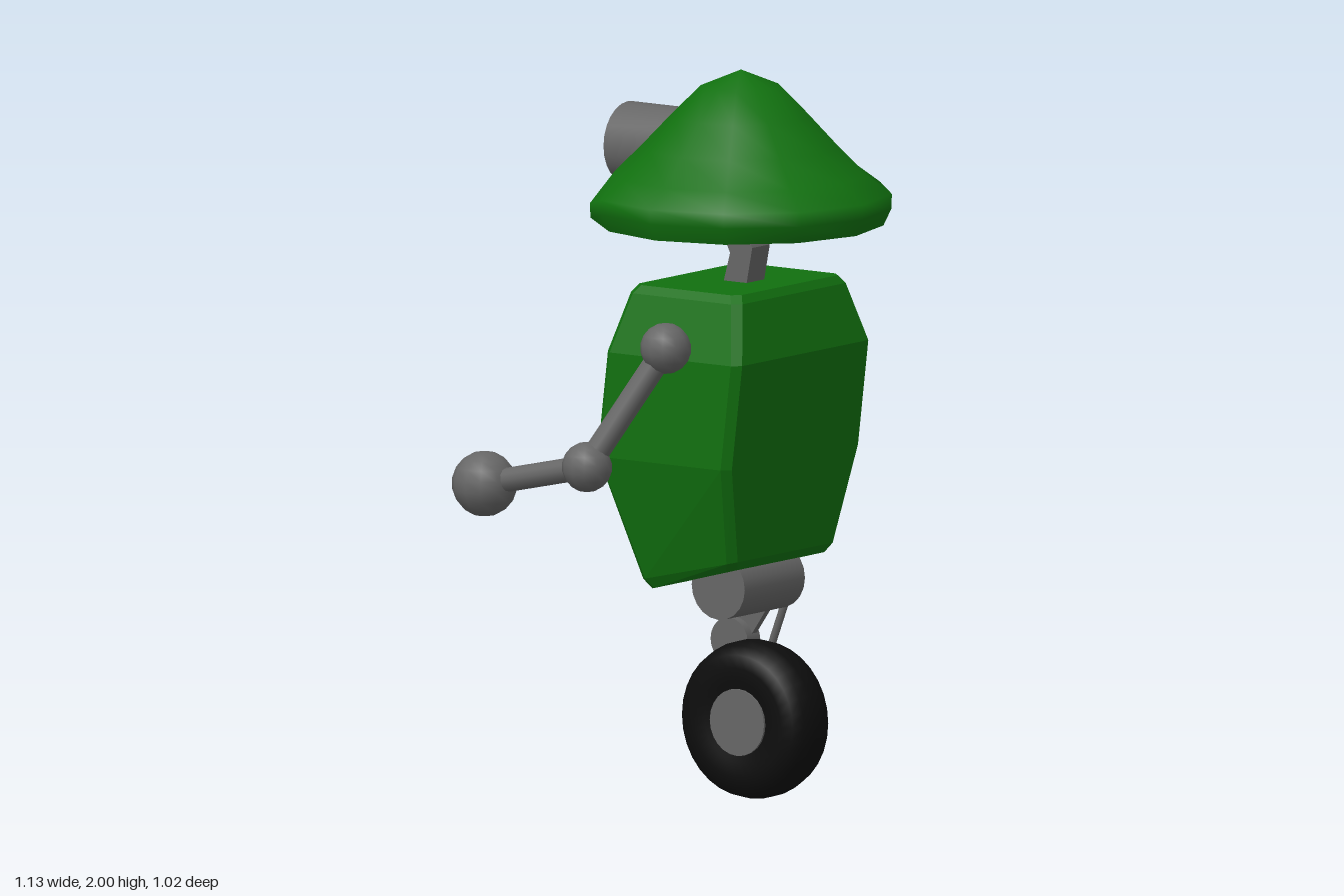
import * as THREE from 'three';
import { toCreasedNormals } from 'three/addons/utils/BufferGeometryUtils.js';

const mat = (color, extra = {}) => new THREE.MeshStandardMaterial({ color, ...extra });
const V = (x, y, z) => new THREE.Vector3(x, y, z);

export function createModel() {
  const model = new THREE.Group();
  model.name = 'unicycleRobot';
  const green = mat(0x11700f, { side: THREE.DoubleSide });
  const greenFlat = mat(0x11700f, { flatShading: true });
  const grey = mat(0x666666);
  const black = mat(0x0d0d0d);
  const yellow = mat(0xc0cc78);

  const add = (name, geometry, material, pos = [0, 0, 0]) => {
    const mesh = new THREE.Mesh(geometry, material);
    mesh.name = name;
    mesh.position.set(...pos);
    model.add(mesh);
    return mesh;
  };
  // Round bar between two points
  const rod = (name, a, b, r, material = grey, sides = 12) => {
    const d = b.clone().sub(a);
    const mesh = add(name, new THREE.CylinderGeometry(r, r, d.length(), sides), material,
      a.clone().add(b).multiplyScalar(0.5).toArray());
    mesh.quaternion.setFromUnitVectors(V(0, 1, 0), d.normalize());
    return mesh;
  };
  // Drum lying along x
  const drum = (name, x0, x1, y, z, r, sides = 20) =>
    rod(name, V(x0, y, z), V(x1, y, z), r, grey, sides);
  const lathe = (points, segments) =>
    new THREE.LatheGeometry(points.map(p => new THREE.Vector2(...p)), segments);

  // Hat: hollow twelve-sided bell, its rim dipping below the eye
  const hatGeo = lathe([[0.39, 1.578], [0.412, 1.625], [0.413, 1.665], [0.345, 1.715],
    [0.27, 1.79], [0.19, 1.875], [0.11, 1.955], [0, 2.0]], 12);
  const hp = hatGeo.attributes.position;
  for (let i = 0; i < hp.count; i++) {
    if (hp.getZ(i) < -0.33 && hp.getY(i) > 1.6) hp.setY(i, hp.getY(i) - 0.04);
  }
  add('hat', hatGeo, green, [0, 0, 0.097]);

  // Eye: recessed housing with a domed lens, looking towards -z
  const housing = lathe([[0, -0.02], [0.11, -0.02], [0.11, 0.287], [0.09, 0.287],
    [0.085, 0.24], [0, 0.24]], 24).rotateX(-Math.PI / 2);
  add('eyeHousing', toCreasedNormals(housing, 0.6), grey, [0, 1.767, 0]);
  const lens = new THREE.SphereGeometry(0.085, 24, 8, 0, Math.PI * 2, 0, Math.PI / 2)
    .scale(1, 0.7, 1).rotateX(-Math.PI / 2);
  add('eyeLens', lens, yellow, [0, 1.767, -0.24]);

  // Neck: bent bar, drawn in (z, y) and extruded across x
  const neckShape = new THREE.Shape([[0.14, 1.39], [0.165, 1.52], [0.085, 1.68],
    [0.0, 1.68], [0.09, 1.5], [0.06, 1.39]].map(p => new THREE.Vector2(...p)));
  const neckGeo = new THREE.ExtrudeGeometry(neckShape, { depth: 0.08, bevelEnabled: false });
  neckGeo.translate(0, 0, -0.04).rotateY(-Math.PI / 2);
  add('neck', neckGeo, grey);

  // Body: chamfered rings from bottom to top [y front, y back, half width, z front, z back]
  const rings = [
    [0.66, 0.583, 0.22, 0.232, -0.055], [0.685, 0.61, 0.238, 0.247, -0.073],
    [0.95, 0.95, 0.309, 0.28, -0.175], [1.24, 1.24, 0.309, 0.315, -0.14],
    [1.40, 1.40, 0.257, 0.277, -0.1], [1.422, 1.422, 0.24, 0.262, -0.085]];
  const c = 0.022, pos = [], index = [];
  for (const [yf, yb, w, zf, zb] of rings) {
    const corners = [[w - c, zf], [w, zf - c], [w, zb + c], [w - c, zb],
      [c - w, zb], [-w, zb + c], [-w, zf - c], [c - w, zf]];
    for (const [x, z] of corners) pos.push(x, yb + (yf - yb) * (z - zb) / (zf - zb), z);
  }
  for (let r = 0; r < rings.length - 1; r++) {
    for (let i = 0; i < 8; i++) {
      const a = r * 8 + i, b = r * 8 + (i + 1) % 8;
      index.push(a, b, b + 8, a, b + 8, a + 8);
    }
  }
  const top = (rings.length - 1) * 8;
  for (let i = 1; i < 7; i++) {
    index.push(0, i + 1, i, top, top + i, top + i + 1);
  }
  const bodyGeo = new THREE.BufferGeometry();
  bodyGeo.setAttribute('position', new THREE.Float32BufferAttribute(pos, 3));
  bodyGeo.setIndex(index);
  bodyGeo.computeVertexNormals();
  add('body', bodyGeo, greenFlat);

  // Arms: ball joints joined by rods
  for (const [side, s] of [['left', 1], ['right', -1]]) {
    const shoulder = V(s * 0.34, 1.275, 0.095);
    const elbow = V(s * 0.474, 0.95, -0.072);
    const hand = V(s * 0.474, 0.872, -0.419);
    const ball = r => new THREE.SphereGeometry(r, 12, 9);
    add(side + 'Shoulder', ball(0.07), grey, shoulder.toArray());
    add(side + 'Elbow', ball(0.069), grey, elbow.toArray());
    add(side + 'Hand', ball(0.09), grey, hand.toArray());
    rod(side + 'UpperArm', shoulder, elbow, 0.035);
    rod(side + 'Forearm', elbow, hand, 0.033);
  }

  // Leg: hip drum, flat links in the (z, y) plane, knee and a thin strut
  const link = (name, z0, y0, z1, y1, width, x, thickness) => {
    const mesh = add(name,
      new THREE.BoxGeometry(thickness, Math.hypot(z1 - z0, y1 - y0), width), grey,
      [x, (y0 + y1) / 2, (z0 + z1) / 2]);
    mesh.rotation.x = Math.atan2(z1 - z0, y1 - y0);
  };
  drum('hip', -0.137, 0.137, 0.595, 0.122, 0.09);
  drum('strutTopPin', 0.13, 0.16, 0.575, 0.155, 0.03, 12);
  link('upperLeg', 0.1, 0.58, -0.02, 0.405, 0.07, 0.142, 0.022);
  drum('knee', 0.106, 0.164, 0.405, -0.022, 0.063);
  link('lowerLeg', -0.02, 0.405, 0.145, 0.22, 0.06, 0.138, 0.025);
  rod('strut', V(0.152, 0.575, 0.155), V(0.152, 0.325, 0.06), 0.011, grey, 8);
  drum('strutBottomPin', 0.13, 0.16, 0.325, 0.06, 0.026, 12);

  // Wheel: rounded tyre, hub through it, motor on the left side
  const tyre = lathe([[0.08, -0.074], [0.11, -0.08], [0.15, -0.086], [0.185, -0.077],
    [0.207, -0.055], [0.217, -0.02], [0.217, 0.02], [0.207, 0.055], [0.185, 0.077],
    [0.15, 0.086], [0.11, 0.08], [0.08, 0.074]], 32).rotateZ(-Math.PI / 2);
  add('tyre', tyre, black, [0, 0.218, 0.145]);
  drum('hub', -0.083, 0.083, 0.218, 0.145, 0.092, 24);
  drum('motor', 0.08, 0.19, 0.218, 0.145, 0.069, 24);

  return model;
}
